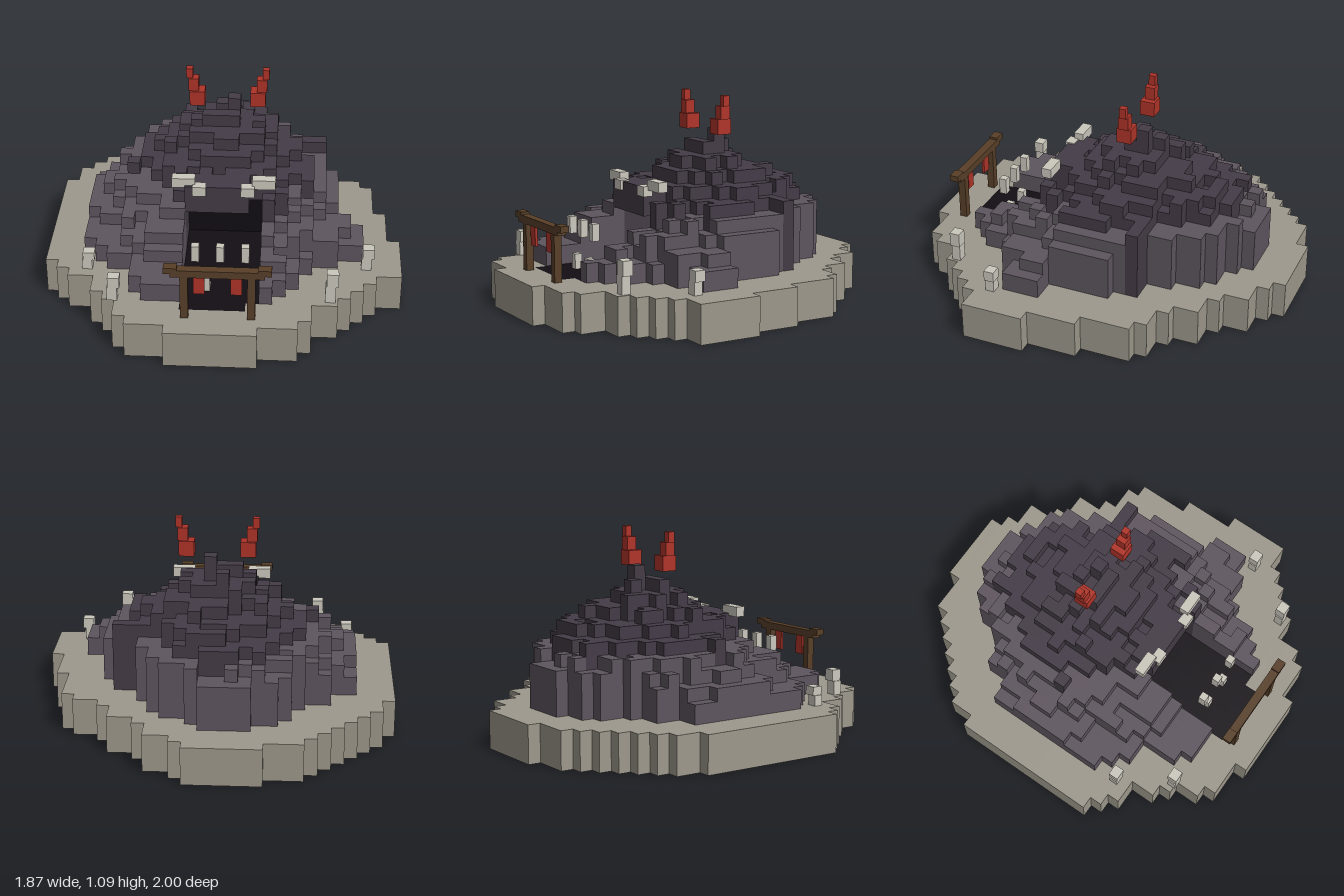
import * as THREE from 'three';
import { mergeGeometries } from 'three/addons/utils/BufferGeometryUtils.js';

const U = 1 / 15; // voxel size
const GROUND = 0.2;
// Outlines as cell counts left (-x) and right (+x) of the centre, row by row from back to front
const BASE_L = [4, 7, 8, 9, 10, 11, 12, 13, 13, 14, 14, 14, 14, 14, 14, 14, 14, 14, 14, 14, 14, 13, 12, 10, 10, 9, 8, 8, 7, 4];
const BASE_R = [2, 3, 5, 5, 6, 8, 8, 9, 11, 12, 12, 12, 12, 13, 13, 13, 13, 14, 14, 14, 14, 14, 12, 11, 10, 9, 7, 7, 6, 3];
const HILL_L = [3, 5, 6, 6, 7, 9, 9, 11, 11, 11, 11, 11, 11, 11, 11, 11, 11, 10, 9, 7, 7, 7, 6, 3];
const HILL_R = [1, 2, 4, 5, 5, 6, 6, 8, 8, 9, 9, 9, 9, 9, 11, 11, 11, 9, 7, 6, 6, 5, 4, 2];
const HILL_ROW = 3, CAVE_ROW = 16, LIP_ROW = 18, OPEN_ROW = 20;
const CEILING = 0.48;

const material = (color) => new THREE.MeshStandardMaterial({ color, flatShading: true });
const MAT = {
  ground: material(0x9d988c), rock: material(0x5e555f), darkRock: material(0x443b46),
  cave: material(0x120e14), bone: material(0xcbc8bd), wood: material(0x583f28), red: material(0xb03429),
};

// Box geometry from its two corners
function box(x0, x1, y0, y1, z0, z1) {
  return new THREE.BoxGeometry(x1 - x0, y1 - y0, z1 - z0)
    .translate((x0 + x1) / 2, (y0 + y1) / 2, (z0 + z1) / 2);
}

function add(parent, name, mat, boxes) {
  const mesh = new THREE.Mesh(mergeGeometries(boxes.map((b) => box(...b))), mat);
  mesh.name = name;
  parent.add(mesh);
}

// The same box and its mirror image across x = 0
const pair = ([x0, x1, ...rest]) => [[x0, x1, ...rest], [-x1, -x0, ...rest]];

function noise(i, j) {
  const s = Math.sin(i * 127.1 + j * 311.7) * 43758.5453;
  return s - Math.floor(s) - 0.5;
}

// Stepped cone height of one hill column; rim columns stay low
function hillHeight(i, row, isRim) {
  if (i === 0 && row === 12) return 0.9;
  if (row === 10 && (i === 6 || i === 7)) return 0.9 - 5 * U;
  const x = (i + 0.5) * U, dz = (row - 14.5) * U + 0.14;
  const d = Math.hypot(x, dz < 0 ? dz * 0.92 : dz);
  const h = 0.85 - 0.7 * d + 0.1 * noise(i, row);
  const step = THREE.MathUtils.clamp(Math.round((h - 0.3) / U), 0, isRim ? 3 : 8);
  return 0.3 + step * U;
}

export function createModel() {
  const model = new THREE.Group();
  const ground = [], rock = [], dark = [], cave = [];

  for (let row = 0; row < 30; row++) {
    const z0 = -1 + row * U, z1 = z0 + U;
    const k = row - HILL_ROW;
    const l = BASE_L[row], r = BASE_R[row];
    if (k < 0 || k >= HILL_L.length) {
      ground.push([-l * U, r * U, 0, GROUND, z0, z1]);
      continue;
    }
    // Ground strips either side of the hill
    const hl = HILL_L[k], hr = HILL_R[k];
    ground.push([-l * U, -hl * U, 0, GROUND, z0, z1], [hr * U, r * U, 0, GROUND, z0, z1]);
    for (let i = -hl; i < hr; i++) {
      const x0 = i * U, x1 = x0 + U;
      const isRim = k < 2 || i < -hl + 2 || i >= hr - 2;
      const h = hillHeight(i, row, isRim);
      if (row >= CAVE_ROW && i >= -3 && i < 3) {
        // Cave floor, with a roof over its inner end
        cave.push([x0, x1, 0, GROUND, z0, z1]);
        if (row < LIP_ROW) dark.push([x0, x1, CEILING, h, z0, z1]);
        else if (row < OPEN_ROW && i < 2) dark.push([x0, x1, CEILING, 0.9 - 4 * U, z0, z1]);
        continue;
      }
      (h > 0.53 ? dark : rock).push([x0, x1, 0, h, z0, z1]);
    }
  }
  // Back wall of the cave
  const caveBack = -1 + CAVE_ROW * U;
  cave.push([-3 * U, 3 * U, GROUND, CEILING, caveBack, caveBack + 0.012]);

  add(model, 'groundSlab', MAT.ground, ground);
  add(model, 'lowerHill', MAT.rock, rock);
  add(model, 'upperHill', MAT.darkRock, dark);
  add(model, 'caveInterior', MAT.cave, cave);

  // Stepped horns above the peak
  add(model, 'horns', MAT.red, [
    [0.12, 0.2, 0.885, 0.965, -0.157, -0.077],
    [0.153, 0.207, 0.965, 1.035, -0.144, -0.09],
    [0.183, 0.218, 1.035, 1.09, -0.135, -0.099],
  ].flatMap(pair));

  // Brows over the cave mouth
  add(model, 'brows', MAT.bone, [
    [0.147, 0.267, 0.62, 0.673, 0.267, 0.32],
    [0.09, 0.16, 0.587, 0.64, 0.295, 0.348],
  ].flatMap(pair));

  // Upper and lower teeth
  add(model, 'teeth', MAT.bone, [
    [-0.02, 0.02, 0.38, 0.47, 0.597, 0.637],
    ...pair([0.107, 0.147, 0.38, 0.47, 0.597, 0.637]),
    ...pair([0.053, 0.093, 0.2, 0.28, 0.597, 0.637]),
  ]);

  // Standing stones around the hill
  const stones = [[0.567, 0.677, 0.17], [0.755, 0.383, 0.125], [-0.697, 0.447, 0.1], [-0.537, 0.715, 0.135]];
  add(model, 'standingStones', MAT.bone, stones.flatMap(([x, z, h]) => [
    [x - 0.033, x + 0.02, GROUND, GROUND + h * 0.55, z - 0.02, z + 0.027],
    [x - 0.027, x + 0.033, GROUND + h * 0.55, GROUND + h, z - 0.027, z + 0.027],
  ]));

  // Gate in front of the cave
  const gate = new THREE.Group();
  gate.name = 'gate';
  model.add(gate);
  add(gate, 'posts', MAT.wood, pair([0.147, 0.187, GROUND, 0.45, 0.83, 0.87]));
  add(gate, 'beam', MAT.wood, [
    [-0.233, 0.233, 0.447, 0.487, 0.827, 0.873],
    ...pair([0.2, 0.267, 0.467, 0.5, 0.826, 0.874]),
  ]);
  add(gate, 'banners', MAT.red, pair([0.065, 0.12, 0.34, 0.447, 0.843, 0.857]));

  return model;
}
